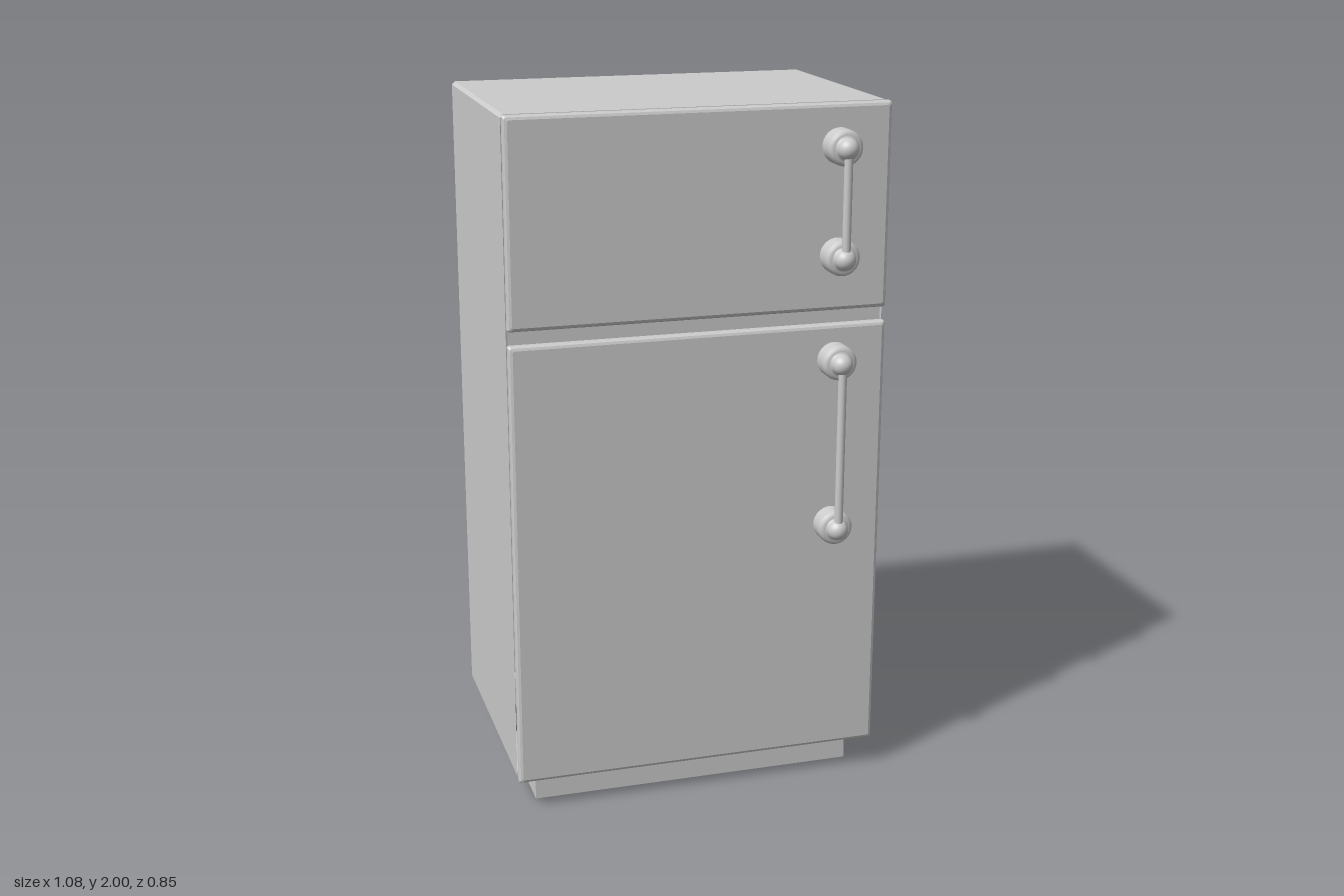
import * as THREE from 'three';

const shell = new THREE.MeshStandardMaterial({ color: 0xcccccc, flatShading: true, side: THREE.DoubleSide });
const smooth = new THREE.MeshStandardMaterial({ color: 0xcccccc });

const W = 0.54, BACK = -0.425, FRONT = 0.295, BASE = 0.09, TOP = 2;

function part(name, geometry, material = shell) {
  const mesh = new THREE.Mesh(geometry, material);
  mesh.name = name;
  return mesh;
}

// Skin through successive loops of [x, y, z] points, optionally capping the last loop
function loft(loops, closed = true, cap = false) {
  const n = loops[0].length, index = [];
  const steps = closed ? n : n - 1;
  for (let r = 0; r < loops.length - 1; r++) {
    for (let i = 0; i < steps; i++) {
      const a = r * n + i, b = r * n + (i + 1) % n;
      index.push(a, b, b + n, a, b + n, a + n);
    }
  }
  if (cap) {
    const s = (loops.length - 1) * n;
    for (let i = 1; i < n - 1; i++) index.push(s, s + i, s + i + 1);
  }
  const g = new THREE.BufferGeometry();
  g.setAttribute('position', new THREE.Float32BufferAttribute(loops.flat(2), 3));
  g.setIndex(index);
  const flat = g.toNonIndexed();
  flat.computeVertexNormals();
  return flat;
}

// Chamfered rectangle, counter-clockwise seen from the front
function outline(w, y0, y1, c, z) {
  return [
    [w - c, y0, z], [w, y0 + c, z], [w, y1 - c, z], [w - c, y1, z],
    [-w + c, y1, z], [-w, y1 - c, z], [-w, y0 + c, z], [-w + c, y0, z],
  ];
}

function rect(x0, y0, x1, y1, Type = THREE.Shape) {
  return new Type([[x0, y0], [x1, y0], [x1, y1], [x0, y1]].map(p => new THREE.Vector2(...p)));
}

function cabinet() {
  const group = new THREE.Group();
  group.name = 'cabinet';

  // Sides and top: one bent sheet, open at the back
  group.add(part('sidesAndTop', loft([
    outline(W, BASE, TOP, 0.009, BACK), outline(W, BASE, TOP, 0.009, FRONT),
  ], false)));

  // Front frame with an opening behind each door
  const frame = rect(-W + 0.005, BASE, W - 0.005, TOP);
  frame.holes.push(
    rect(-0.51, 0.12, 0.51, 1.365, THREE.Path),
    rect(-0.51, 1.445, 0.51, 1.97, THREE.Path));
  const face = part('frontFrame', new THREE.ShapeGeometry(frame));
  face.position.z = FRONT;
  group.add(face);

  // Floor ring, open above the plinth
  const ring = rect(-W + 0.009, -FRONT, W - 0.009, -BACK);
  ring.holes.push(rect(-0.48, -0.26, 0.48, 0.38, THREE.Path));
  const floor = part('floor', new THREE.ShapeGeometry(ring).rotateX(-Math.PI / 2));
  floor.position.y = BASE;
  group.add(floor);

  // Hollow plinth walls
  const foot = y => [[0.48, y, -0.38], [-0.48, y, -0.38], [-0.48, y, 0.26], [0.48, y, 0.26]];
  group.add(part('plinth', loft([foot(0), foot(BASE)])));
  return group;
}

// Hollow door: seal, back rim, edge, bevel and front panel
function door(name, y0, y1) {
  const inset = (d, z, c = 0.004) => outline(W - d, y0 + d, y1 - d, c, z);
  return part(name, loft([
    inset(0.03, FRONT), inset(0.03, 0.301), inset(0.004, 0.301),
    inset(0, 0.305), inset(0, 0.32), inset(0.004, 0.327), inset(0.011, 0.33),
  ], true, true));
}

// Stepped round mount: base, rounded shoulder, domed knob
function mountGeometry() {
  const pts = [[0.05, 0], [0.05, 0.043], [0.0485, 0.05], [0.044, 0.0555], [0.037, 0.058], [0.03, 0.058], [0.03, 0.065]];
  for (let i = 1; i <= 8; i++) {
    const a = i / 8 * Math.PI / 2;
    pts.push([i === 8 ? 0 : 0.03 * Math.cos(a), 0.065 + 0.03 * Math.sin(a)]);
  }
  return new THREE.LatheGeometry(pts.map(p => new THREE.Vector2(...p)), 32).rotateX(Math.PI / 2);
}

function handle(name, y0, y1) {
  const group = new THREE.Group();
  group.name = name;
  for (const [label, y] of [['lowerMount', y0], ['upperMount', y1]]) {
    const mount = part(label, mountGeometry(), smooth);
    mount.position.y = y;
    group.add(mount);
  }
  const bar = part('bar', new THREE.CylinderGeometry(0.012, 0.012, y1 - y0, 20), smooth);
  bar.position.set(0, (y0 + y1) / 2, 0.071);
  group.add(bar);
  group.position.set(0.387, 0, 0.33);
  return group;
}

export function createModel() {
  const model = new THREE.Group();
  model.name = 'refrigerator';
  model.add(
    cabinet(),
    door('lowerDoor', BASE, 1.385),
    door('upperDoor', 1.425, TOP),
    handle('lowerHandle', 0.797, 1.285),
    handle('upperHandle', 1.582, 1.885));
  return model;
}
